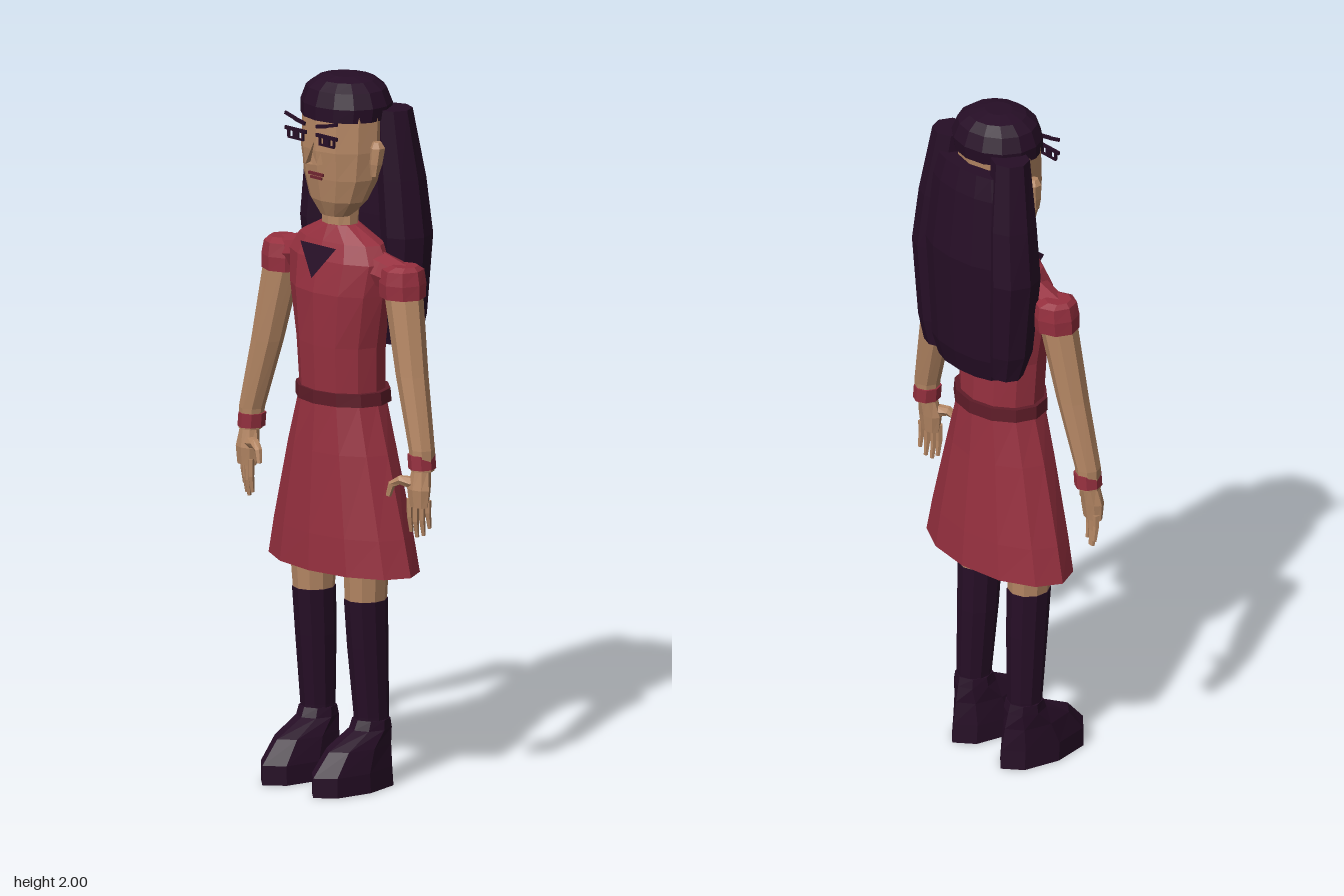
import * as THREE from 'three';

const mat = (name, color, extra = {}) => {
  const m = new THREE.MeshStandardMaterial({ color, flatShading: true, ...extra });
  m.name = name;
  return m;
};

// Closed skin over a stack of rings (arrays of Vector3), flat at both ends
function skin(rings) {
  const pos = [];
  const tri = (...v) => v.forEach((p) => pos.push(p.x, p.y, p.z));
  const n = rings[0].length;
  const middle = (r) => r.reduce((s, p) => s.add(p), new THREE.Vector3()).divideScalar(n);
  const first = rings[0], last = rings[rings.length - 1];
  const low = middle(first), high = middle(last);
  for (let i = 0; i < n; i++) {
    const j = (i + 1) % n;
    for (let k = 0; k < rings.length - 1; k++) {
      const a = rings[k], b = rings[k + 1];
      tri(a[i], a[j], b[j]);
      tri(a[i], b[j], b[i]);
    }
    tri(low, first[j], first[i]);
    tri(high, last[i], last[j]);
  }
  const g = new THREE.BufferGeometry();
  g.setAttribute('position', new THREE.Float32BufferAttribute(pos, 3));
  g.computeVertexNormals();
  return g;
}

// Level sections, bottom to top: [y, half width, z front, z back, x centre]
function loft(sections, n, side = 1) {
  return skin(sections.map(([y, rx, zf, zb, cx = 0]) =>
    Array.from({ length: n }, (_, i) => {
      const a = (i / n) * Math.PI * 2;
      return new THREE.Vector3(cx * side + rx * Math.sin(a), y, (zf + zb) / 2 + ((zf - zb) / 2) * Math.cos(a));
    })));
}

// Tapered limb along a path of [x, y, z, radius]
function limb(path, n, side = 1) {
  const pts = path.map(([x, y, z]) => new THREE.Vector3(x * side, y, z));
  return skin(pts.map((p, k) => {
    const t = pts[Math.min(k + 1, pts.length - 1)].clone().sub(pts[Math.max(k - 1, 0)]).normalize();
    const u = t.clone().cross(new THREE.Vector3(0, 0, 1)).normalize();
    const v = u.clone().cross(t);
    return Array.from({ length: n }, (_, i) => {
      const a = (i / n) * Math.PI * 2, r = path[k][3];
      return p.clone().addScaledVector(u, r * Math.sin(a)).addScaledVector(v, r * Math.cos(a));
    });
  }));
}

export function createModel() {
  const model = new THREE.Group();
  const dress = mat('dress red', 0x96303f);
  const belt = mat('belt red', 0x5e1c28);
  const flesh = mat('skin', 0xb58764);
  const dark = mat('dark purple', 0x260e26);
  const darkSheet = mat('dark purple sheet', 0x260e26, { side: THREE.DoubleSide });
  const lip = mat('lip red', 0x702530);

  const add = (name, geometry, material) => {
    const m = new THREE.Mesh(geometry, material);
    m.name = name;
    model.add(m);
    return m;
  };
  const plate = (name, x, y, z, w, h, material, tilt = 0) => {
    const m = add(name, new THREE.BoxGeometry(w, h, 0.006), material);
    m.position.set(x, y, z);
    m.rotation.z = tilt;
  };

  // Dress
  add('skirt', loft([
    [0.615, 0.262, 0.12, -0.157], [0.72, 0.238, 0.117, -0.15],
    [0.95, 0.178, 0.105, -0.13], [1.09, 0.137, 0.095, -0.12],
  ], 12), dress);
  add('belt', loft([[1.085, 0.15, 0.101, -0.132], [1.122, 0.147, 0.101, -0.13]], 12), belt);
  add('bodice', loft([
    [1.09, 0.132, 0.093, -0.118], [1.25, 0.14, 0.1, -0.113], [1.4, 0.166, 0.102, -0.11],
    [1.49, 0.18, 0.085, -0.1], [1.54, 0.15, 0.065, -0.085], [1.585, 0.06, 0.045, -0.05],
  ], 12), dress);
  const tri = new THREE.BufferGeometry();
  tri.setAttribute('position', new THREE.Float32BufferAttribute(
    [-0.07, 1.532, 0.082, 0, 1.442, 0.108, 0.07, 1.532, 0.082], 3));
  tri.computeVertexNormals();
  add('collar', tri, darkSheet);

  // Head
  add('neck', loft([[1.56, 0.056, 0.044, -0.045], [1.65, 0.054, 0.044, -0.06]], 10), flesh);
  add('head', loft([
    [1.61, 0.05, 0.052, -0.03], [1.655, 0.092, 0.072, -0.065], [1.72, 0.118, 0.083, -0.1],
    [1.8, 0.128, 0.092, -0.125], [1.92, 0.129, 0.089, -0.135],
  ], 12), flesh);
  add('nose', skin([
    [[-0.024, 1.765, 0.088], [0, 1.758, 0.088], [0.024, 1.765, 0.088], [0, 1.77, 0.132]],
    [[-0.008, 1.825, 0.088], [0, 1.825, 0.086], [0.008, 1.825, 0.088], [0, 1.825, 0.1]],
  ].map((r) => r.map((p) => new THREE.Vector3(...p)))), flesh);
  plate('mouth', 0, 1.735, 0.09, 0.056, 0.008, lip);
  plate('lower lip', 0, 1.724, 0.089, 0.044, 0.007, lip);

  // Hair
  add('hair cap', loft([
    [1.887, 0.131, 0.093, -0.142], [1.925, 0.135, 0.092, -0.148], [1.967, 0.118, 0.078, -0.132],
    [1.99, 0.085, 0.05, -0.105], [2, 0.04, 0.015, -0.06],
  ], 14), dark);
  add('back hair', loft([
    [1.235, 0.125, -0.08, -0.17], [1.3, 0.15, -0.07, -0.186], [1.6, 0.158, -0.07, -0.204],
    [1.8, 0.14, -0.08, -0.182], [1.865, 0.125, -0.09, -0.165],
  ], 12), dark);

  for (const side of [1, -1]) {
    const label = side > 0 ? 'left' : 'right';

    add(label + ' hair length', loft([
      [1.255, 0.05, -0.07, -0.16, 0.135], [1.33, 0.06, -0.045, -0.172, 0.145],
      [1.56, 0.068, -0.028, -0.182, 0.158], [1.72, 0.065, -0.03, -0.17, 0.143],
      [1.915, 0.055, -0.035, -0.14, 0.122],
    ], 8, side), dark);

    // Face details
    add(label + ' ear', loft([
      [1.735, 0.012, 0.005, -0.015, 0.132], [1.77, 0.018, 0.01, -0.028, 0.134],
      [1.815, 0.022, 0.008, -0.035, 0.136], [1.832, 0.012, 0, -0.025, 0.136],
    ], 6, side), flesh);
    plate(label + ' eyelid', side * 0.061, 1.853, 0.109, 0.082, 0.01, dark);
    plate(label + ' lower lash', side * 0.06, 1.828, 0.108, 0.06, 0.005, dark);
    plate(label + ' iris', side * 0.06, 1.84, 0.108, 0.022, 0.022, dark);
    for (const x of [0.033, 0.089]) plate(label + ' lash', side * x, 1.84, 0.108, 0.006, 0.022, dark);
    plate(label + ' inner brow', side * 0.043, 1.881, 0.111, 0.042, 0.01, dark, side * 0.2);
    plate(label + ' outer brow', side * 0.082, 1.89, 0.109, 0.042, 0.009, dark, side * 0.25);

    // Sleeve and arm
    add(label + ' shoulder', limb([
      [0.09, 1.48, -0.015, 0.06], [0.17, 1.468, -0.017, 0.05], [0.24, 1.455, -0.018, 0.045],
    ], 8, side), dress);
    add(label + ' sleeve', loft([
      [1.41, 0.066, 0.046, -0.078, 0.232], [1.45, 0.066, 0.048, -0.082, 0.231],
      [1.488, 0.057, 0.042, -0.078, 0.232], [1.5, 0.035, 0.02, -0.055, 0.242],
    ], 8, side), dress);
    add(label + ' arm', loft([
      [0.94, 0.033, 0.044, -0.022, 0.338], [1.0, 0.036, 0.046, -0.026, 0.334],
      [1.2, 0.047, 0.042, -0.045, 0.284], [1.45, 0.058, 0.036, -0.068, 0.232],
    ], 8, side), flesh);
    add(label + ' cuff', loft([
      [0.946, 0.037, 0.05, -0.03, 0.336], [0.986, 0.037, 0.05, -0.03, 0.332],
    ], 8, side), dress);

    // Hand
    add(label + ' palm', loft([
      [0.84, 0.033, 0.045, 0.005, 0.338], [0.89, 0.039, 0.05, -0.002, 0.337],
      [0.95, 0.026, 0.04, -0.012, 0.338],
    ], 8, side), flesh);
    [[0.312, 0.765, 0.035], [0.33, 0.752, 0.03], [0.347, 0.758, 0.022], [0.363, 0.78, 0.015]]
      .forEach(([x, y, z], i) => add(label + ' finger ' + (i + 1), limb([
        [x, y, z - 0.006, 0.006], [x, y + 0.045, z, 0.009], [x, 0.86, z, 0.01],
      ], 5, side), flesh));
    add(label + ' thumb', limb([
      [0.318, 0.905, 0.03, 0.018], [0.285, 0.91, 0.045, 0.014],
      [0.262, 0.895, 0.055, 0.011], [0.254, 0.862, 0.06, 0.008],
    ], 6, side), flesh);

    // Leg, stocking and shoe
    add(label + ' leg', loft([
      [0.5, 0.055, 0.054, -0.06, 0.102], [0.53, 0.057, 0.058, -0.062, 0.102],
      [0.66, 0.064, 0.066, -0.066, 0.105],
    ], 10, side), flesh);
    add(label + ' stocking', loft([
      [0.15, 0.047, 0.028, -0.068, 0.105], [0.2, 0.048, 0.03, -0.07, 0.105],
      [0.4, 0.056, 0.05, -0.068, 0.102], [0.533, 0.059, 0.061, -0.065, 0.102],
    ], 10, side), dark);
    add(label + ' shoe', loft([
      [0, 0.072, 0.199, -0.105, 0.1], [0.055, 0.071, 0.199, -0.1, 0.1],
      [0.12, 0.062, 0.14, -0.09, 0.102], [0.165, 0.055, 0.045, -0.08, 0.104],
      [0.192, 0.052, 0.033, -0.073, 0.105],
    ], 8, side), dark);
  }
  return model;
}
